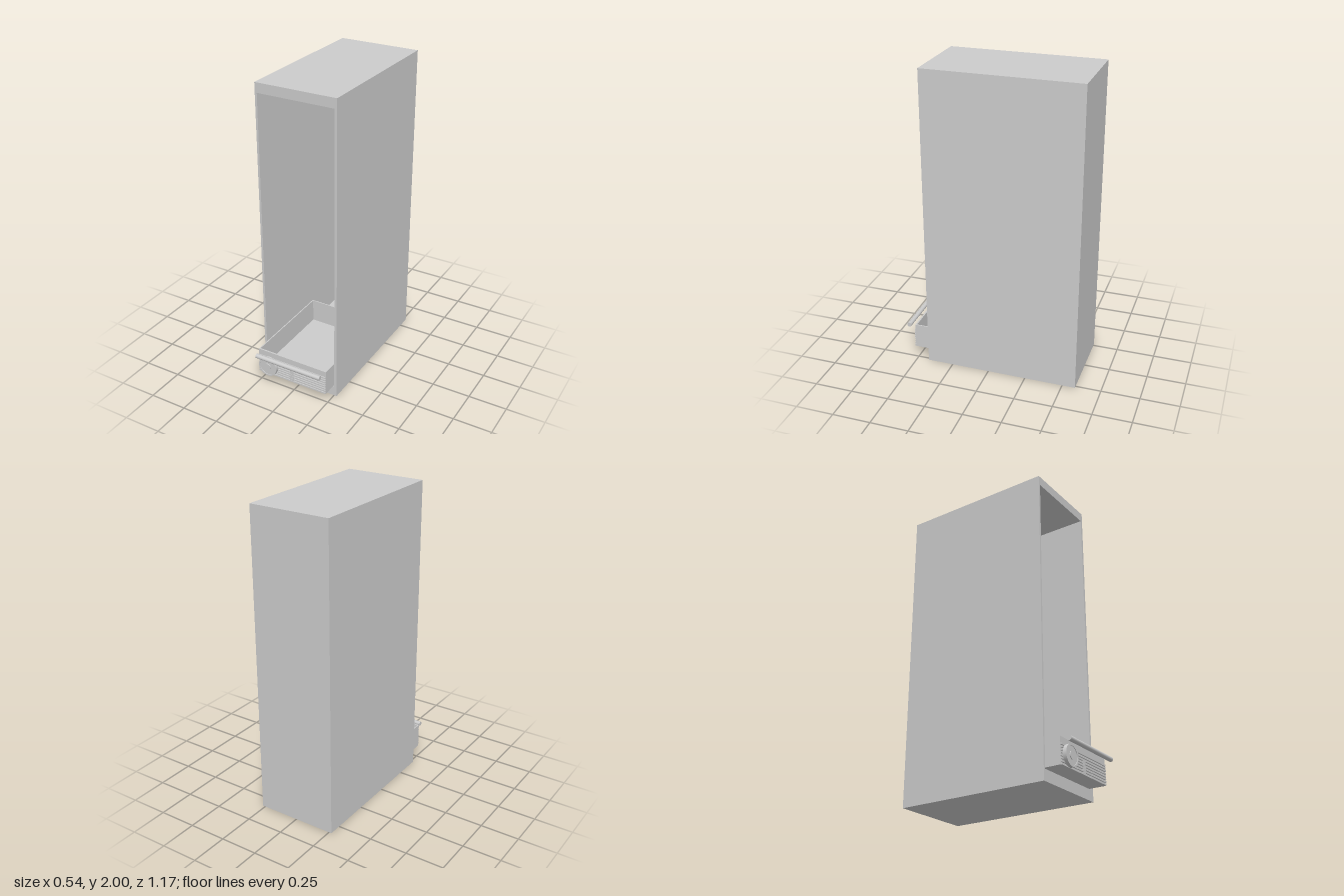
import * as THREE from 'three';

export function createModel() {
  const model = new THREE.Group();
  const material = new THREE.MeshStandardMaterial({ color: 0xcccccc });

  function add(name, geometry, x, y, z, parent = model) {
    const mesh = new THREE.Mesh(geometry, material);
    mesh.name = name;
    mesh.position.set(x, y, z);
    parent.add(mesh);
    return mesh;
  }
  // Box given by its limits on each axis
  function box(name, [x0, x1], [y0, y1], [z0, z1], parent) {
    return add(name, new THREE.BoxGeometry(x1 - x0, y1 - y0, z1 - z0),
      (x0 + x1) / 2, (y0 + y1) / 2, (z0 + z1) / 2, parent);
  }
  function group(name) {
    const g = new THREE.Group();
    g.name = name;
    model.add(g);
    return g;
  }

  // Tall cabinet shell: a rectangular frame extruded front to back, closed behind
  const W = 0.268, BACK = -0.585, FRONT = 0.42, WALL = 0.015;
  const cabinet = group('cabinet');
  const outline = new THREE.Shape([[-W, 0], [W, 0], [W, 2], [-W, 2]].map(p => new THREE.Vector2(...p)));
  outline.holes.push(new THREE.Path(
    [[-0.254, 0.07], [-0.254, 1.938], [0.251, 1.938], [0.251, 0.07]].map(p => new THREE.Vector2(...p))));
  add('cabinetShell', new THREE.ExtrudeGeometry(outline, { depth: FRONT - BACK - WALL, bevelEnabled: false }),
    0, 0, BACK + WALL, cabinet);
  box('cabinetBack', [-W, W], [0, 2], [BACK, BACK + WALL], cabinet);

  // Open-topped drawer, pulled out a little
  const drawer = group('drawer');
  const L = -0.251, R = 0.248, BOTTOM = 0.078, TOP = 0.243, T = 0.007;
  const z0 = -0.15, z1 = 0.517;
  box('drawerFloor', [L, R], [BOTTOM, BOTTOM + T], [z0, z1], drawer);
  box('drawerRightSide', [L, L + T], [BOTTOM + T, TOP], [z0, z1], drawer);
  box('drawerLeftSide', [R - T, R], [BOTTOM + T, TOP], [z0, z1], drawer);
  box('drawerBack', [L + T, R - T], [BOTTOM + T, TOP], [z0, z0 + T], drawer);
  box('drawerFront', [L + T, R - T], [BOTTOM + T, TOP], [z1 - 0.01, z1], drawer);

  // Horizontal slats across the drawer front
  const grille = group('grille');
  const count = 8, pitch = (0.21 - BOTTOM) / count;
  for (let i = 0; i < count; i++) {
    const y = BOTTOM + i * pitch;
    box('slat', [L + 0.003, R - 0.003], [y, y + pitch * 0.65], [z1, z1 + 0.007], grille);
  }
  box('centreRib', [-0.015, 0.012], [BOTTOM, 0.162], [z1, z1 + 0.006], grille);

  // Round dial with a raised rim and a hub
  const profile = [[0, 0], [0.066, 0], [0.066, 0.026], [0.056, 0.026], [0.056, 0.022],
    [0.024, 0.022], [0.024, 0.027], [0, 0.027]].map(p => new THREE.Vector2(...p));
  // Separate segments keep every edge of the profile sharp
  const dial = group('dial');
  dial.position.set(-0.17, 0.146, 0.52);
  dial.rotation.x = Math.PI / 2;
  for (let i = 1; i < profile.length; i++) {
    add('dialFace', new THREE.LatheGeometry([profile[i - 1], profile[i]], 40), 0, 0, 0, dial);
  }

  // Handle bar in front of the drawer
  const handle = add('handle', new THREE.CylinderGeometry(0.015, 0.015, 0.47, 24), -0.001, 0.225, 0.567);
  handle.rotation.z = Math.PI / 2;

  return model;
}
